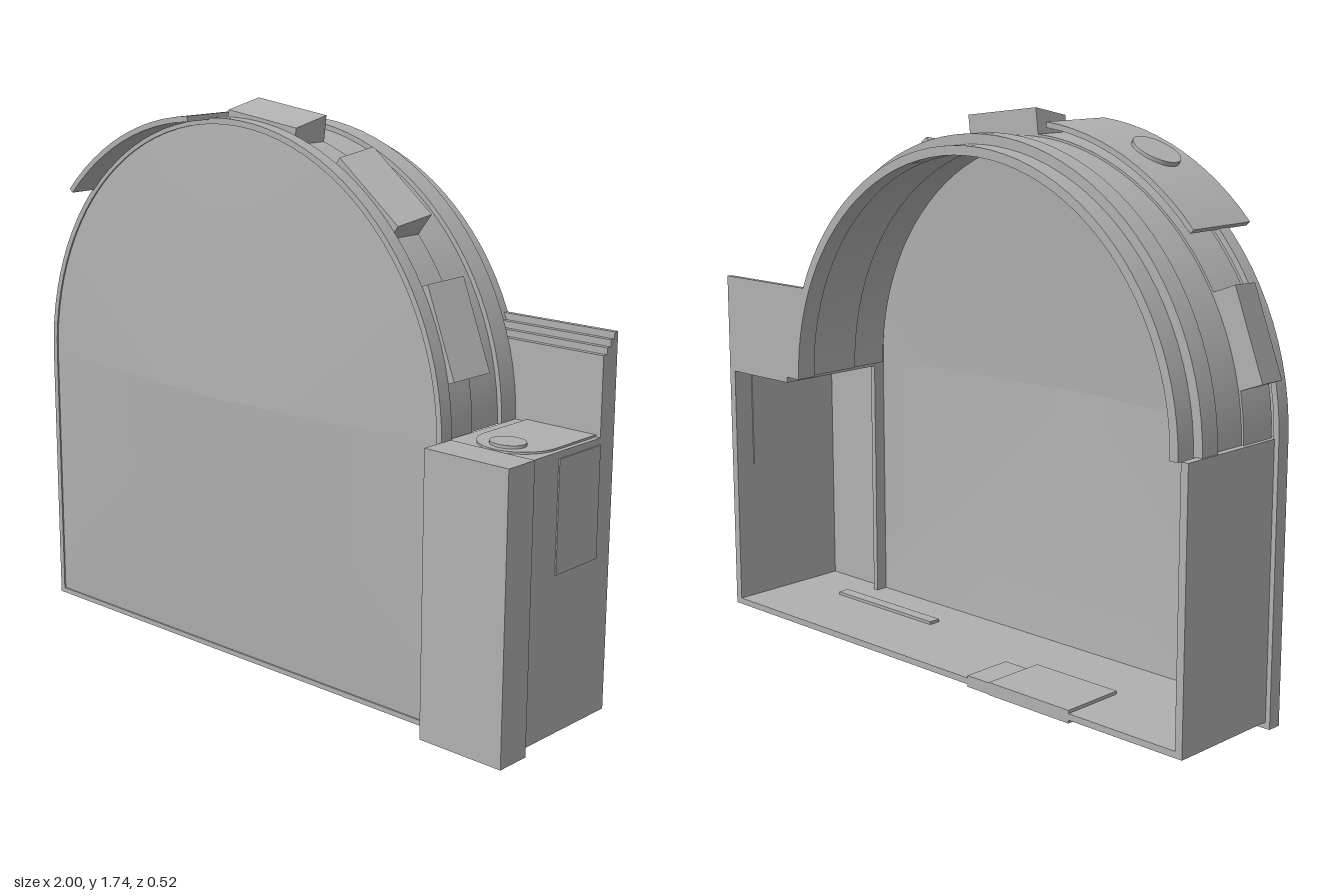
import * as THREE from 'three';
import { toCreasedNormals, mergeVertices } from 'three/addons/utils/BufferGeometryUtils.js';

const CX = -0.13, CY = 0.85; // centre of the arch

export function createModel() {
  const model = new THREE.Group();
  const grey = new THREE.MeshStandardMaterial({ color: 0xb0b0b0 });
  grey.name = 'plain grey';
  const greySheet = new THREE.MeshStandardMaterial({ color: 0xb0b0b0, side: THREE.DoubleSide });
  greySheet.name = 'plain grey sheet';

  function add(name, geometry, material = grey, parent = model) {
    const mesh = new THREE.Mesh(geometry, material);
    mesh.name = name;
    parent.add(mesh);
    return mesh;
  }
  function box(name, x0, x1, y0, y1, z0, z1) {
    const mesh = add(name, new THREE.BoxGeometry(x1 - x0, y1 - y0, z1 - z0));
    mesh.position.set((x0 + x1) / 2, (y0 + y1) / 2, (z0 + z1) / 2);
    return mesh;
  }
  function extrude(shape, z0, z1, curveSegments = 24) {
    const g = new THREE.ExtrudeGeometry(shape, { depth: z1 - z0, bevelEnabled: false, curveSegments });
    g.translate(0, 0, z0);
    return toCreasedNormals(g, 0.5);
  }
  // Curved band around the arch centre, angles in degrees
  function band(name, rOut, rIn, z0, z1, a0 = 0, a1 = 180) {
    const s = new THREE.Shape();
    const [t0, t1] = [a0, a1].map(THREE.MathUtils.degToRad);
    s.absarc(CX, CY, rOut, t0, t1, false);
    s.absarc(CX, CY, rIn, t1, t0, true);
    return add(name, extrude(s, z0, z1, Math.max(6, Math.round((a1 - a0) / 7.5))));
  }
  // Group whose y axis points outwards from the arch at the given angle
  function onArch(name, degrees) {
    const g = new THREE.Group();
    g.name = name;
    g.position.set(CX, CY, 0);
    g.rotation.z = THREE.MathUtils.degToRad(degrees - 90);
    model.add(g);
    return g;
  }
  function archOutline(path, r, bottom) {
    path.moveTo(CX - r, bottom);
    path.lineTo(CX + r, bottom);
    path.lineTo(CX + r, CY);
    path.absarc(CX, CY, r, 0, Math.PI, false);
    path.lineTo(CX - r, bottom);
    return path;
  }

  // Front rim
  const rim = archOutline(new THREE.Shape(), 0.84, 0);
  rim.holes.push(archOutline(new THREE.Path(), 0.822, 0.016));
  add('frontRim', extrude(rim, 0.125, 0.17));

  // Shallow peaked front panel in an upper and a lower half
  function panelHalf(name, edge) {
    const pos = [];
    for (let i = 0; i < edge.length - 1; i++) {
      const [ax, ay] = edge[i], [bx, by] = edge[i + 1];
      pos.push(CX, CY, 0.232, ax, ay, 0.165, bx, by, 0.165);
    }
    const g = new THREE.BufferGeometry();
    g.setAttribute('position', new THREE.Float32BufferAttribute(pos, 3));
    const smooth = mergeVertices(g);
    smooth.computeVertexNormals();
    add(name, smooth, greySheet);
  }
  const R = 0.825, upper = [], lower = [];
  for (let i = 0; i <= 24; i++) {
    const a = Math.PI * i / 24;
    upper.push([CX + R * Math.cos(a), CY + R * Math.sin(a)]);
  }
  const corners = [[CX - R, CY], [CX - R, 0.015], [CX + R, 0.015], [CX + R, CY]];
  for (let s = 0; s < 3; s++) {
    for (let i = 0; i < 4; i++) {
      const t = i / 4, a = corners[s], b = corners[s + 1];
      lower.push([a[0] + (b[0] - a[0]) * t, a[1] + (b[1] - a[1]) * t]);
    }
  }
  lower.push(corners[3]);
  panelHalf('upperFrontPanel', upper);
  panelHalf('lowerFrontPanel', lower);

  // Arched shell, stepped from front to back
  band('ventBand', 0.812, 0.785, 0, 0.13);
  band('middleBand', 0.805, 0.78, -0.125, 0);
  band('ridgeBand', 0.82, 0.78, -0.192, -0.125);
  band('backBand', 0.79, 0.762, -0.258, -0.192);

  // Wedge-shaped tabs around the arch
  for (const angle of [21, 52, 83, 159]) {
    const g = new THREE.BoxGeometry(0.28, 1, 0.125);
    const p = g.attributes.position;
    for (let i = 0; i < p.count; i++) {
      const top = p.getZ(i) < 0 ? 0.878 : 0.85;
      p.setY(i, p.getY(i) > 0 ? top : 0.8);
    }
    g.translate(0, 0, 0.0625);
    g.computeVertexNormals();
    add('wedgeTab', g, grey, onArch('archTab', angle));
  }

  // Overhanging curved plate with a round button
  band('overhangPlate', 0.852, 0.835, 0, 0.258, 95, 137);
  const button = add('overhangButton', new THREE.CylinderGeometry(0.078, 0.078, 0.02, 24), grey, onArch('overhangButtonMount', 115.5));
  button.position.set(0, 0.852, 0.145);
  button.scale.z = 0.88;

  // Open-backed lower case
  box('floor', -0.955, 0.985, 0.02, 0.04, -0.258, 0.165);
  box('rightWall', -0.955, -0.93, 0.02, 0.855, -0.258, 0.165);
  box('leftWall', 0.96, 0.985, 0.02, 0.855, -0.258, 0.165);
  box('columnTop', 0.69, 0.985, 0.832, 0.855, -0.258, 0.165);

  // Front block of the column with a lip around it
  box('columnFront', 0.708, 0.997, 0, 0.86, 0.165, 0.242);
  box('columnSideLip', 0.975, 0.997, 0, 0.86, 0.128, 0.165);
  box('columnBottomLip', 0.708, 0.997, 0, 0.025, 0.128, 0.165);
  box('columnTopLip', 0.708, 0.997, 0.84, 0.86, 0.128, 0.165);

  // Side hatch, proud on both faces
  box('sideHatch', 0.956, 0.989, 0.5, 0.835, -0.19, 0.003);

  // Rounded pad and button on top of the column
  const pad = new THREE.Shape();
  pad.moveTo(0.73, 0.2);
  pad.lineTo(0.73, 0);
  pad.absarc(0.85, 0, 0.12, Math.PI, Math.PI * 2, false);
  pad.lineTo(0.97, 0.2);
  const padMesh = add('columnPad', extrude(pad, 0, 0.006));
  padMesh.rotation.x = -Math.PI / 2;
  padMesh.position.y = 0.855;
  const knob = add('columnButton', new THREE.CylinderGeometry(0.055, 0.055, 0.012, 24));
  knob.position.set(0.85, 0.864, 0.053);
  knob.scale.z = 0.85;

  // Stepped panel rising behind the column
  for (let i = 0; i < 4; i++) {
    const top = 1.15 - i * 0.02, r = 0.785;
    const a = Math.asin((top - CY) / r);
    const s = new THREE.Shape();
    s.moveTo(0.985, CY);
    s.lineTo(0.985, top);
    s.lineTo(CX + r * Math.cos(a), top);
    s.absarc(CX, CY, r, a, 0, true);
    add('backPanelStep', extrude(s, -0.258 + i * 0.0165, -0.2415 + i * 0.0165, 8));
  }

  // Raised strips through the floor
  box('floorStrip', 0.3, 0.75, 0.01, 0.05, 0.0, 0.04);
  box('floorPlate', -0.54, -0.22, 0.01, 0.05, -0.258, -0.045);
  box('floorSmallPlate', -0.22, -0.13, 0.012, 0.048, -0.258, -0.09);

  return model;
}
